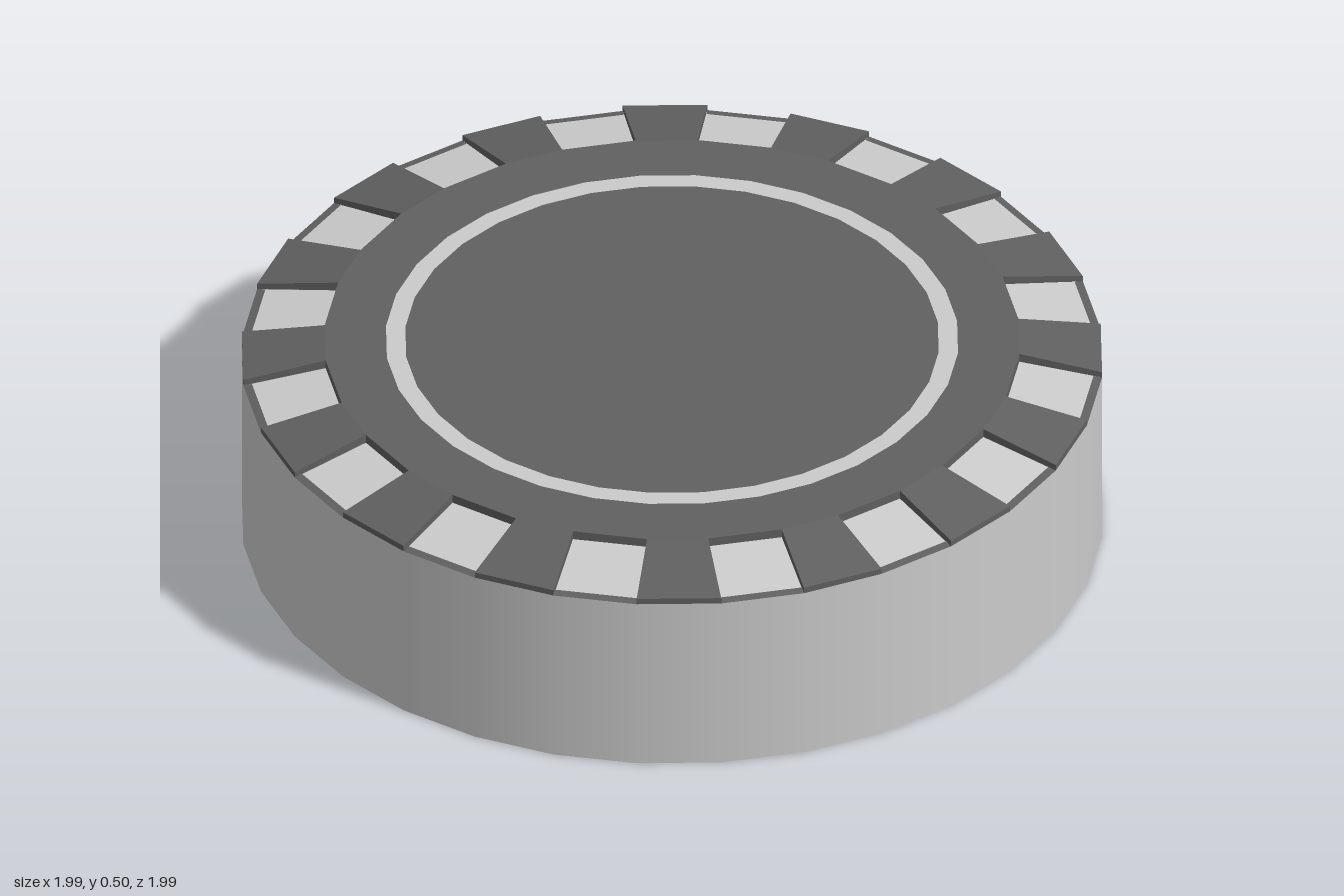
import * as THREE from 'three';

const SIDES = 32, STEP = 360 / SIDES;
const rad = THREE.MathUtils.degToRad;
const START = 6.375; // turn of the 32-sided outline, degrees

// Point at radius r, angle a (degrees clockwise from the back), height y
const P = (r, a, y) => [r * Math.sin(rad(a)), y, -r * Math.cos(rad(a))];

// Flat-shaded geometry from four-cornered faces
function fromQuads(quads) {
  const pos = [];
  for (const [a, b, c, d] of quads) pos.push(...a, ...b, ...c, ...a, ...c, ...d);
  const geo = new THREE.BufferGeometry();
  geo.setAttribute('position', new THREE.Float32BufferAttribute(pos, 3));
  geo.computeVertexNormals();
  return geo;
}

export function createModel() {
  const group = new THREE.Group();
  const light = new THREE.MeshStandardMaterial({ color: 0xcccccc });
  const dark = new THREE.MeshStandardMaterial({ color: 0x606060 });
  const add = (name, geo, mat) => {
    const mesh = new THREE.Mesh(geo, mat);
    mesh.name = name;
    group.add(mesh);
    return mesh;
  };

  // Smooth side wall and underside
  const wall = new THREE.CylinderGeometry(1, 1, 0.45, SIDES, 1, true, rad(START));
  add('sideWall', wall.translate(0, 0.225, 0), light);
  add('underside', new THREE.CircleGeometry(1, SIDES, rad(4.875)).rotateX(Math.PI / 2), dark);

  // Flat top: centre disc and pale inlaid ring
  const disc = new THREE.CircleGeometry(0.62, SIDES, rad(START)).rotateX(-Math.PI / 2);
  add('centreDisc', disc.translate(0, 0.5, 0), dark);
  const ring = new THREE.RingGeometry(0.62, 0.665, SIDES, 1, rad(START)).rotateX(-Math.PI / 2);
  add('inlaidRing', ring.translate(0, 0.5, 0), light);

  // Bevelled rim: sixteen raised teeth alternating with sunken pads
  const IN = 0.807, LIP = 0.98, TOP = 0.5, EDGE = 0.465, BASE = 0.45, PAD = 0.478;
  const rim = [], pads = [];
  for (let i = 0; i < SIDES; i++) {
    const mid = 10.5 + i * STEP;
    const notch = i % 2 === 0;
    const half = STEP / 2, inner = notch ? 6.2 : STEP - 6.2;
    const a0 = mid - half, a1 = mid + half; // outer corners
    const b0 = mid - inner, b1 = mid + inner; // inner corners
    rim.push([P(0.665, a0, TOP), P(0.665, a1, TOP), P(IN, b1, TOP), P(IN, b0, TOP)]);
    if (notch) {
      // sloped pad, its lip, back wall and two side walls
      pads.push([P(IN, b0, PAD), P(IN, b1, PAD), P(LIP, a1, BASE + 0.003), P(LIP, a0, BASE + 0.003)]);
      rim.push(
        [P(LIP, a0, BASE + 0.003), P(LIP, a1, BASE + 0.003), P(1, a1, BASE), P(1, a0, BASE)],
        [P(IN, b0, TOP), P(IN, b1, TOP), P(IN, b1, PAD), P(IN, b0, PAD)],
        [P(IN, b0, TOP), P(IN, b0, PAD), P(1, a0, BASE), P(1, a0, EDGE)],
        [P(IN, b1, PAD), P(IN, b1, TOP), P(1, a1, EDGE), P(1, a1, BASE)]
      );
    } else {
      // sloped tooth top and its outer face
      rim.push(
        [P(IN, b0, TOP), P(IN, b1, TOP), P(1, a1, EDGE), P(1, a0, EDGE)],
        [P(1, a0, EDGE), P(1, a1, EDGE), P(1, a1, BASE), P(1, a0, BASE)]
      );
    }
  }
  add('toothedRim', fromQuads(rim), dark);
  add('sunkenPads', fromQuads(pads), light);
  return group;
}
